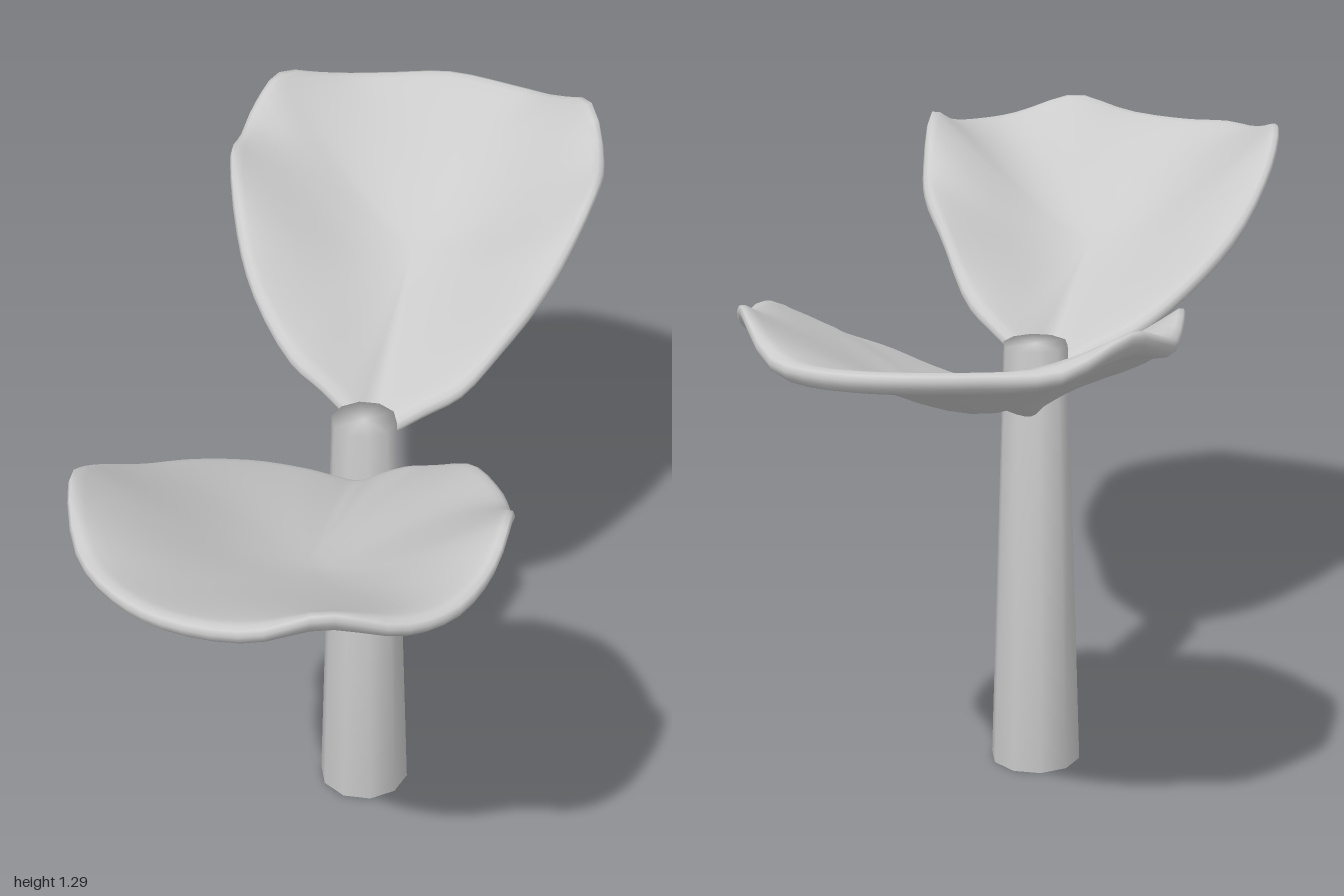
import * as THREE from 'three';
import { mergeVertices } from 'three/addons/utils/BufferGeometryUtils.js';

// Leaf rims as [x, y, z], running clockwise seen from above, starting at the stalk.
const LEFT_RIM = [
  [0.05, 0.865, -0.045], [0.06, 0.905, -0.1], [0.045, 0.96, -0.18], [0.03, 1.0, -0.26], [0.07, 1.08, -0.42],
  [0.14, 1.155, -0.55], [0.25, 1.255, -0.69], [0.35, 1.235, -0.77], [0.44, 1.265, -0.82],
  [0.54, 1.3, -0.845], [0.69, 1.255, -0.82], [0.8, 1.25, -0.735], [0.905, 1.25, -0.64],
  [0.975, 1.24, -0.5], [1.0, 1.245, -0.38], [0.95, 1.3, -0.23], [0.85, 1.235, -0.1],
  [0.74, 1.225, -0.025], [0.58, 1.13, 0.025], [0.48, 1.08, 0.045], [0.36, 1.025, 0.055],
  [0.25, 0.96, 0.045], [0.17, 0.925, 0.005], [0.1, 0.885, -0.035],
];
const RIGHT_RIM = [
  [-0.05, 0.865, 0.045], [-0.055, 0.91, 0.1], [-0.04, 0.965, 0.18], [-0.043, 1.01, 0.27], [-0.1, 1.115, 0.42],
  [-0.18, 1.165, 0.57], [-0.26, 1.205, 0.67], [-0.37, 1.3, 0.77], [-0.46, 1.26, 0.815],
  [-0.58, 1.24, 0.84], [-0.69, 1.245, 0.815], [-0.81, 1.285, 0.735], [-0.9, 1.245, 0.64],
  [-0.975, 1.235, 0.5], [-1.0, 1.245, 0.39], [-0.97, 1.255, 0.25], [-0.87, 1.3, 0.11],
  [-0.76, 1.235, 0.03], [-0.6, 1.13, -0.03], [-0.43, 1.05, -0.06], [-0.26, 0.97, -0.05],
  [-0.16, 0.925, -0.005], [-0.09, 0.885, 0.03],
];

// Rings from the middle of the upper face, round the rolled rim, to the middle of
// the underside: [share of the way to the rim, height offset].
const RINGS = [
  [0, 0], [0.12, 0], [0.25, 0], [0.38, 0], [0.5, 0], [0.6, 0], [0.7, 0], [0.79, 0], [0.87, 0], [0.93, 0],
  [0.965, -0.002], [0.99, -0.01], [1, -0.022], [0.99, -0.034], [0.965, -0.042], [0.93, -0.042], [0.87, -0.036],
  [0.79, -0.03], [0.7, -0.026], [0.6, -0.024], [0.5, -0.024], [0.38, -0.024], [0.25, -0.024], [0.12, -0.024], [0, -0.024],
];

// A cupped leaf: a slanted plane that curls up to meet the rim.
function leafGeometry(rim) {
  const around = 72;
  const side = Math.sign(rim[0][0]);
  const cx = 0.5 * side, cz = -0.36 * side;
  const curve = new THREE.CatmullRomCurve3(rim.map(p => new THREE.Vector3(...p)), true, 'centripetal');
  const edge = Array.from({ length: around }, (_, i) => curve.getPoint(i / around));
  const plane = (x, z) => 0.845 + 0.34 * (side * (0.82 * x - 0.57 * z) - 0.06);
  const rise = edge.map(e => e.y - plane(e.x, e.z));

  // The waves of the rim fade out towards the middle of the leaf
  const smoothRise = (i, f) => {
    const reach = Math.round(Math.pow(1 - f, 0.8) * around * 0.18);
    let sum = 0, total = 0;
    for (let k = -reach; k <= reach; k++) {
      const weight = 1 + reach - Math.abs(k);
      sum += weight * rise[(i + k + around) % around];
      total += weight;
    }
    return sum / total;
  };

  const positions = [], index = [];
  const last = RINGS.length - 1;
  const start = j => (j === 0 ? 0 : 1 + (j - 1) * around);
  RINGS.forEach(([f, h], j) => {
    const pole = j === 0 || j === last;
    for (let i = 0; i < (pole ? 1 : around); i++) {
      const x = cx + (edge[i].x - cx) * f, z = cz + (edge[i].z - cz) * f;
      const cup = f * f * (2.4 - 1.4 * f);
      positions.push(x, plane(x, z) + smoothRise(i, f) * cup + h, z);
    }
  });
  for (let j = 0; j < last; j++) {
    for (let i = 0; i < around; i++) {
      const n = (i + 1) % around;
      const a = start(j) + (j === 0 ? 0 : i), b = start(j) + (j === 0 ? 0 : n);
      const c = start(j + 1) + (j + 1 === last ? 0 : i), d = start(j + 1) + (j + 1 === last ? 0 : n);
      if (c !== d) index.push(a, d, c);
      if (a !== b) index.push(a, b, d);
    }
  }
  const geometry = new THREE.BufferGeometry();
  geometry.setAttribute('position', new THREE.Float32BufferAttribute(positions, 3));
  geometry.setIndex(index);
  geometry.computeVertexNormals();
  return geometry;
}

// Tapered ten-sided stem, shaded smoothly over its ends
function stemGeometry() {
  const cylinder = new THREE.CylinderGeometry(0.07, 0.1, 0.967, 10).translate(0, 0.4835, 0);
  cylinder.deleteAttribute('normal');
  cylinder.deleteAttribute('uv');
  const geometry = mergeVertices(cylinder);
  geometry.computeVertexNormals();
  return geometry;
}

export function createModel() {
  const group = new THREE.Group();
  group.name = 'sprout';
  const grey = new THREE.MeshStandardMaterial({ color: 0xcccccc });
  grey.name = 'light grey';

  const add = (name, geometry) => {
    const mesh = new THREE.Mesh(geometry, grey);
    mesh.name = name;
    group.add(mesh);
  };

  add('stem', stemGeometry());

  // Two opposite leaves
  add('leftLeaf', leafGeometry(LEFT_RIM));
  add('rightLeaf', leafGeometry(RIGHT_RIM));

  return group;
}
